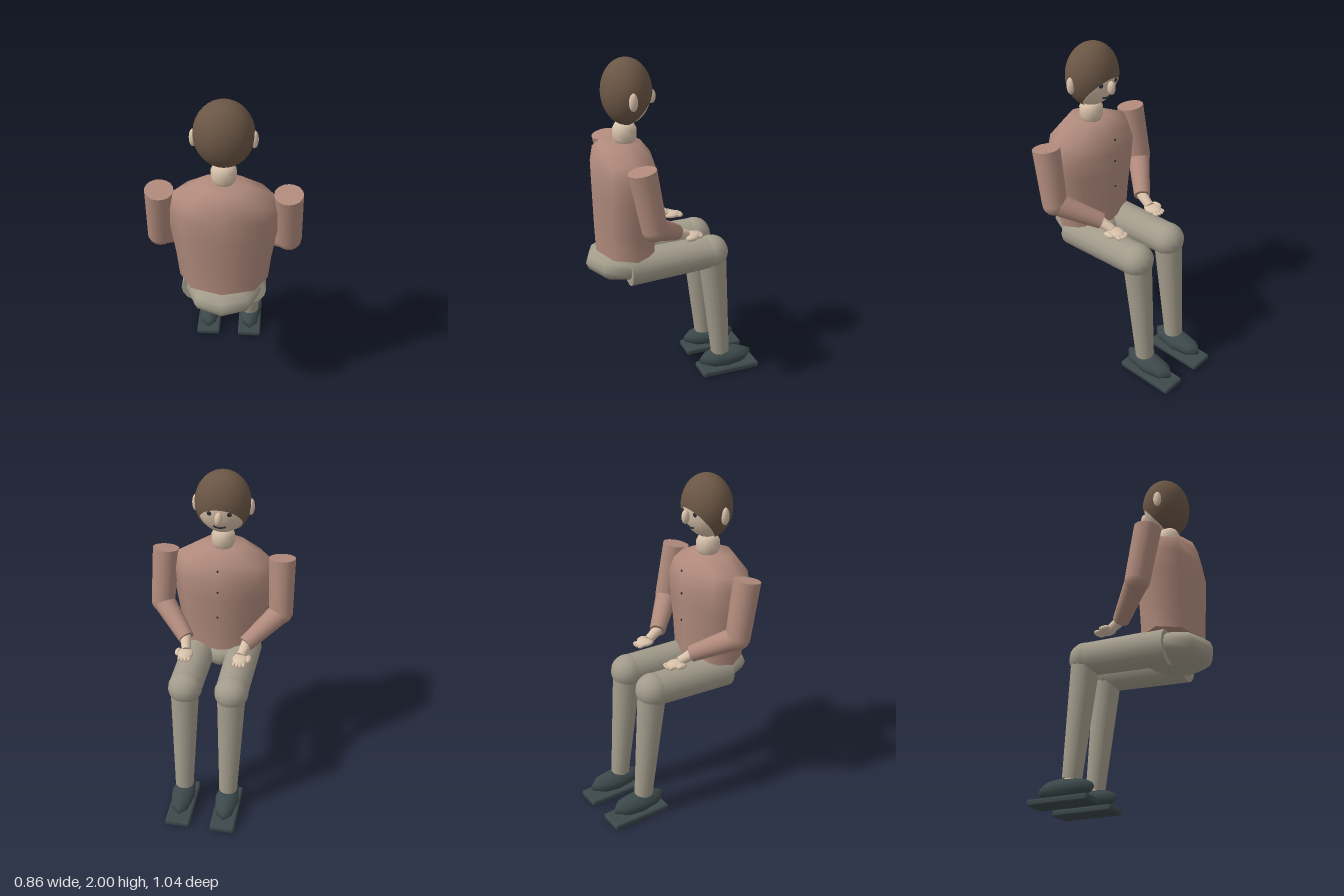
import * as THREE from 'three';
import { toCreasedNormals } from 'three/addons/utils/BufferGeometryUtils.js';
import { RoundedBoxGeometry } from 'three/addons/geometries/RoundedBoxGeometry.js';

const mat = (color) => new THREE.MeshStandardMaterial({ color });
const skin = mat(0xd8c1aa), shirt = mat(0xb08a7c), trousers = mat(0xa39c8c);
const shoe = mat(0x3c484b), hairColor = mat(0x6b5645), dark = mat(0x2c3038);
hairColor.side = THREE.DoubleSide;

export function createModel() {
  const model = new THREE.Group();
  model.name = 'seatedFigure';

  const add = (parent, name, geometry, material, pos = [0, 0, 0]) => {
    const mesh = new THREE.Mesh(geometry, material);
    mesh.name = name;
    mesh.position.set(...pos);
    parent.add(mesh);
    return mesh;
  };
  const ball = (parent, name, material, pos, radii, w = 20, h = 14) =>
    add(parent, name, new THREE.SphereGeometry(1, w, h).scale(...radii), material, pos);
  // Tapered cylinder between two points
  const limb = (parent, name, material, from, to, r1, r2) => {
    const a = new THREE.Vector3(...from), b = new THREE.Vector3(...to);
    const dir = b.clone().sub(a);
    const mesh = add(parent, name, new THREE.CylinderGeometry(r2, r1, dir.length(), 16), material);
    mesh.position.copy(a).add(b).multiplyScalar(0.5);
    mesh.quaternion.setFromUnitVectors(new THREE.Vector3(0, 1, 0), dir.normalize());
    return mesh;
  };

  // Torso: eight-sided rings of [half width, height, half depth, centre z]
  const rings = [
    [0, 0.9, 0, 0.285], [0.25, 0.9, 0.172, 0.285], [0.265, 1.05, 0.178, 0.285],
    [0.295, 1.25, 0.186, 0.282], [0.307, 1.37, 0.19, 0.281], [0.285, 1.46, 0.165, 0.287],
    [0.13, 1.535, 0.12, 0.3], [0, 1.535, 0, 0.3],
  ];
  const torso = new THREE.LatheGeometry(rings.map(([r, y]) => new THREE.Vector2(r, y)), 8);
  const p = torso.attributes.position;
  for (let i = 0; i < p.count; i++) {
    const [rx, , rz, cz] = rings[i % rings.length];
    p.setZ(i, cz + (rx ? p.getZ(i) * rz / rx : 0));
  }
  add(model, 'torso', toCreasedNormals(torso, 1.25), shirt);
  for (const y of [1.46, 1.32, 1.15])
    ball(model, 'button', dark, [0, y, 0.087], [0.007, 0.007, 0.005], 8, 6);

  // Pelvis
  ball(model, 'pelvis', trousers, [0, 0.825, 0.31], [0.215, 0.105, 0.21], 8, 8);

  // Neck and head
  const neck = [[0, 1.5], [0.05, 1.525], [0.068, 1.56], [0.068, 1.61], [0.05, 1.645], [0, 1.66]];
  add(model, 'neck', new THREE.LatheGeometry(neck.map((q) => new THREE.Vector2(...q)), 20), skin, [0, 0, 0.27]);
  const head = new THREE.Group();
  head.name = 'head';
  head.position.set(0, 1.815, 0.255);
  model.add(head);
  ball(head, 'face', skin, [0, 0, 0], [0.152, 0.178, 0.133], 28, 20);
  // Hair: cap tipped backwards, leaving the face open
  const cap = new THREE.SphereGeometry(1, 32, 20, 0, Math.PI * 2, 0, 2.27);
  add(head, 'hair', cap.rotateX(0.757).scale(0.16, 0.185, 0.14), hairColor);
  ball(head, 'nose', skin, [0, -0.04, -0.145], [0.022, 0.04, 0.024]);
  const smile = new THREE.QuadraticBezierCurve3(
    new THREE.Vector3(-0.035, -0.1, -0.108), new THREE.Vector3(0, -0.114, -0.118),
    new THREE.Vector3(0.035, -0.1, -0.108));
  add(head, 'mouth', new THREE.TubeGeometry(smile, 10, 0.005, 6), dark);
  for (const s of [1, -1]) {
    ball(head, 'ear', skin, [s * 0.158, -0.022, 0.01], [0.02, 0.05, 0.025]);
    ball(head, 'eye', dark, [s * 0.055, -0.018, -0.121], [0.015, 0.013, 0.008], 12, 8);
    const brow = ball(head, 'eyebrow', hairColor, [s * 0.055, 0.014, -0.123], [0.024, 0.005, 0.008], 10, 6);
    brow.rotation.z = -s * 0.15;
  }

  for (const s of [1, -1]) {
    const side = s > 0 ? 'left' : 'right';
    // Arm
    const arm = new THREE.Group();
    arm.name = side + 'Arm';
    model.add(arm);
    const elbow = [s * 0.358, 1.145, 0.225], cuff = [s * 0.178, 1.02, 0.035];
    limb(arm, 'upperArm', shirt, elbow, [s * 0.345, 1.475, 0.285], 0.072, 0.079);
    ball(arm, 'elbow', shirt, elbow, [0.072, 0.072, 0.072], 16, 12);
    limb(arm, 'forearm', shirt, elbow, cuff, 0.068, 0.048);
    limb(arm, 'wrist', skin, [s * 0.185, 1.022, 0.045], [s * 0.163, 0.985, -0.04], 0.033, 0.027);
    ball(arm, 'palm', skin, [s * 0.163, 0.977, -0.065], [0.046, 0.02, 0.057]);
    ball(arm, 'thumb', skin, [s * 0.209, 0.977, -0.055], [0.018, 0.016, 0.036], 12, 8);
    for (let i = 0; i < 4; i++)
      ball(arm, 'finger', skin, [s * (0.133 + i * 0.019), 0.973, i % 3 ? -0.117 : -0.11],
        [0.011, 0.011, 0.022], 10, 8);

    // Leg
    const leg = new THREE.Group();
    leg.name = side + 'Leg';
    model.add(leg);
    const knee = [s * 0.137, 0.838, -0.207];
    limb(leg, 'thigh', trousers, [s * 0.138, 0.818, 0.31], knee, 0.104, 0.097);
    ball(leg, 'knee', trousers, knee, [0.1, 0.1, 0.1], 16, 10);
    limb(leg, 'shin', trousers, [s * 0.137, 0.14, -0.28], [s * 0.137, 0.82, -0.212], 0.056, 0.084);
    limb(leg, 'ankle', skin, [s * 0.137, 0.08, -0.285], [s * 0.137, 0.16, -0.278], 0.045, 0.045);
    ball(leg, 'shoeUpper', shoe, [s * 0.137, 0.088, -0.317], [0.073, 0.06, 0.176], 8, 8);
    add(leg, 'shoeSole', new RoundedBoxGeometry(0.15, 0.038, 0.375, 2, 0.013), shoe, [s * 0.137, 0.019, -0.333]);
  }
  return model;
}
